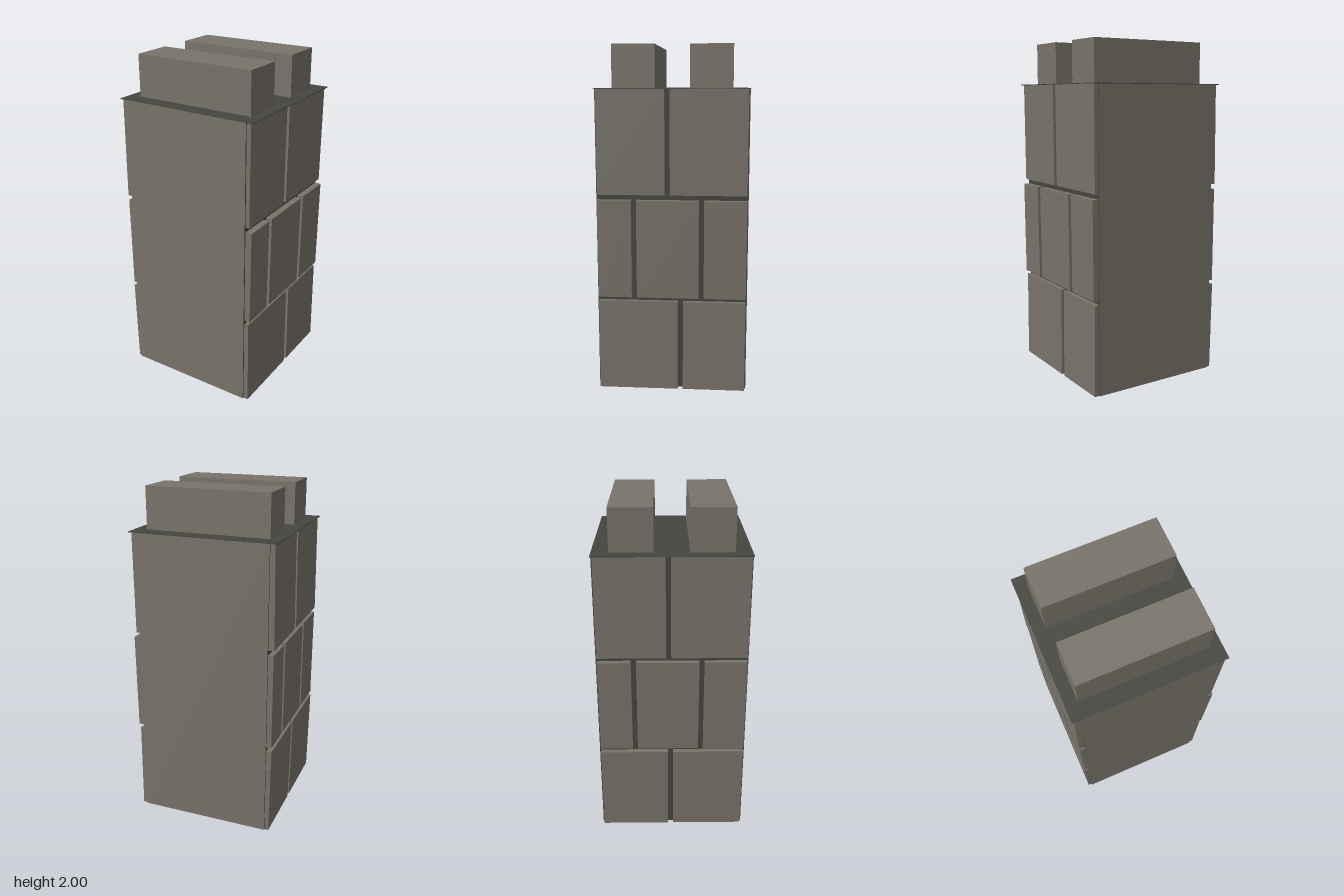
import * as THREE from 'three';

export function createModel() {
  const model = new THREE.Group();
  model.name = 'stoneTower';
  const stone = new THREE.MeshStandardMaterial({ color: 0x78736a });
  stone.name = 'stone';
  const mortar = new THREE.MeshStandardMaterial({ color: 0x45463f });
  mortar.name = 'mortar';

  const H = 1.755; // height of the shaft
  const X = 0.395; // half width of the shaft

  function add(name, geometry, material, x, y, z) {
    const mesh = new THREE.Mesh(geometry, material);
    mesh.name = name;
    mesh.position.set(x, y, z);
    model.add(mesh);
    return mesh;
  }

  // Shaft: stone front and back, mortar sides, underside split along its diagonal
  const core = new THREE.BoxGeometry(2 * X, H, 0.87);
  [12, 14, 15, 12, 15, 13].forEach((v, i) => core.index.setX(18 + i, v));
  core.clearGroups();
  core.addGroup(0, 21, 1);
  core.addGroup(21, 15, 0);
  add('shaft', core, [stone, mortar], 0, H / 2, 0);

  // Thin cap slab
  add('cap', new THREE.BoxGeometry(0.874, 0.004, 0.872), mortar, 0, H, -0.001);

  // Two parapet blocks
  for (const s of [1, -1]) {
    add(s > 0 ? 'frontParapet' : 'backParapet',
      new THREE.BoxGeometry(0.734, 2 - H, 0.243), stone, 0, (2 + H) / 2, s * 0.2195);
  }

  // Facing block whose outer face leans from xBottom to xTop
  function block(name, side, y0, y1, z0, z1, xBottom, xTop) {
    const g = new THREE.BoxGeometry(1, y1 - y0, z1 - z0);
    const p = g.attributes.position;
    for (let i = 0; i < p.count; i++) {
      const outer = p.getX(i) * side > 0;
      p.setX(i, side * (outer ? (p.getY(i) > 0 ? xTop : xBottom) : X - 0.005));
    }
    g.computeVertexNormals();
    add(name, g, stone, 0, (y0 + y1) / 2, (z0 + z1) / 2);
  }

  // Courses per side: bottom, top, centres of the vertical joints, outer x at bottom and top
  const courses = {
    left: [1, [
      [0, 0.535, [-0.05], 0.425, 0.421],
      [0.56, 1.13, [-0.17, 0.217], 0.43, 0.434],
      [1.16, H, [0.025], 0.419, 0.421]]],
    right: [-1, [
      [0, 0.535, [-0.01], 0.419, 0.428],
      [0.56, 1.13, [-0.22, 0.17], 0.426, 0.427],
      [1.16, H, [-0.02], 0.43, 0.423]]],
  };
  for (const [label, [side, rows]] of Object.entries(courses)) {
    for (const [y0, y1, joints, xb, xt] of rows) {
      const edges = [-0.442, ...joints, 0.442];
      for (let i = 0; i < edges.length - 1; i++) {
        block(label + 'FacingBlock', side, y0, y1, edges[i] + 0.015, edges[i + 1] - 0.015, xb, xt);
      }
    }
  }
  return model;
}
